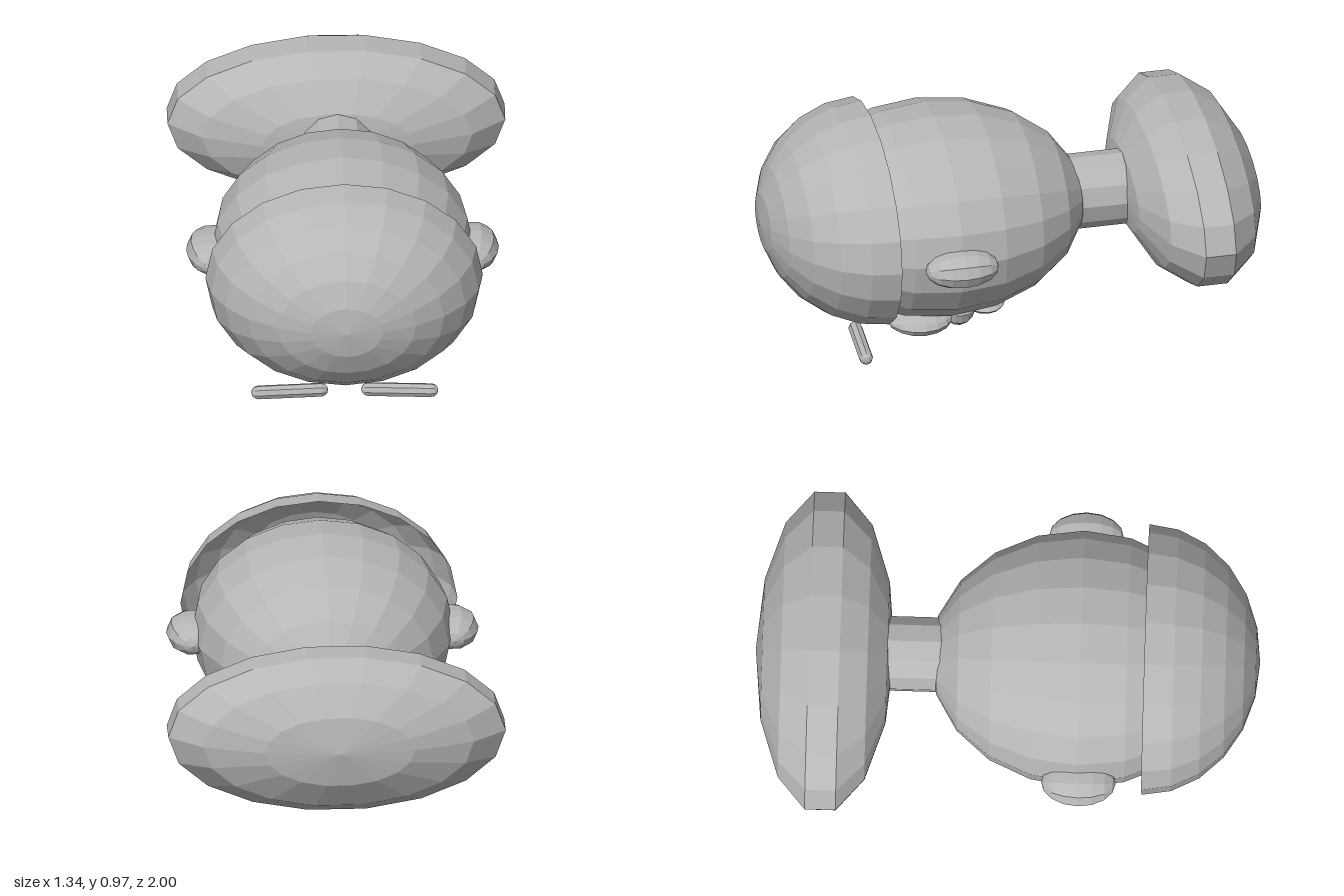
import * as THREE from 'three';

export function createModel() {
  const grey = new THREE.MeshStandardMaterial({ color: 0xb6b6b6, flatShading: true, side: THREE.DoubleSide });
  grey.name = 'plain grey';

  // The figure is built upright (face toward +z) and then tipped face down.
  const model = new THREE.Group();
  model.name = 'figure';
  const figure = new THREE.Group();
  figure.name = 'faceDownFigure';
  figure.rotation.x = Math.PI / 2;
  figure.position.y = 0.54;
  model.add(figure);

  const add = (name, geometry, x, y, z, parent = figure) => {
    const mesh = new THREE.Mesh(geometry, grey);
    mesh.name = name;
    mesh.position.set(x, y, z);
    parent.add(mesh);
    return mesh;
  };
  const ellipsoid = (rx, ry, rz, segments, rings, arc = Math.PI) =>
    new THREE.SphereGeometry(1, segments, rings, 0, Math.PI * 2, 0, arc).scale(rx, ry, rz);

  // Head, open cap of hair, neck and body
  add('head', ellipsoid(0.52, 0.6, 0.41, 20, 10), 0, 0.29, 0);
  add('hairCap', ellipsoid(0.55, 0.455, 0.425, 20, 6, Math.PI / 2), 0, 0.545, -0.015);
  add('neck', new THREE.CylinderGeometry(0.15, 0.15, 0.4, 12), 0, -0.36, 0);
  add('body', ellipsoid(0.687, 0.275, 0.338, 18, 7), 0, -0.725, -0.005);

  // Paired features
  for (const side of [1, -1]) {
    const label = side > 0 ? 'left' : 'right';
    add(label + 'Ear', ellipsoid(0.1, 0.148, 0.075, 10, 8), side * 0.52, 0.295, 0.005);
    add(label + 'Eye', ellipsoid(0.122, 0.13, 0.05, 12, 8), side * 0.225, 0.4, 0.37);
    add(label + 'Pupil', ellipsoid(0.035, 0.035, 0.022, 8, 6), side * 0.225, 0.395, 0.42);
    const brow = add(label + 'Eyebrow', new THREE.CapsuleGeometry(0.028, 0.25, 3, 8),
      side * 0.218, 0.638, 0.457);
    brow.rotation.z = Math.PI / 2 + side * 0.06;
  }

  // Nose bridge, nose tip and mouth
  const bridge = add('noseBridge', ellipsoid(0.05, 0.14, 0.036, 10, 8), 0, 0.26, 0.445);
  bridge.rotation.x = -0.12;
  add('noseTip', ellipsoid(0.075, 0.065, 0.072, 10, 8), 0, 0.19, 0.465);
  add('mouth', ellipsoid(0.135, 0.09, 0.03, 12, 8), 0, 0.095, 0.43);

  return model;
}
